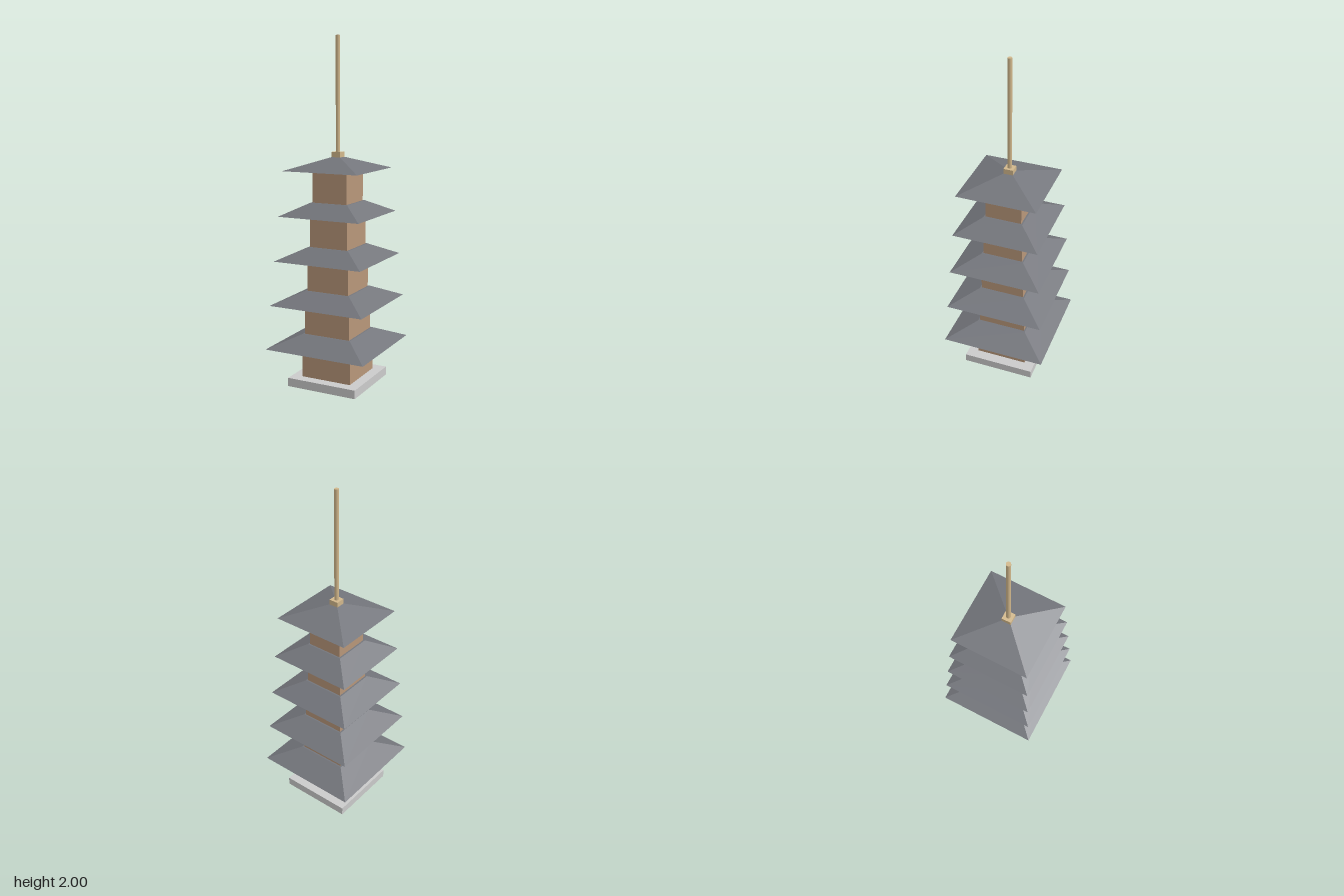
import * as THREE from 'three';

const paint = (color) => new THREE.MeshStandardMaterial({ color, flatShading: true });

export function createModel() {
  const model = new THREE.Group();
  model.name = 'pagoda';
  const stone = new THREE.MeshStandardMaterial({ color: 0xcccccc, flatShading: true });
  const wood = paint(0xb8977a);
  const tile = paint(0x74767c);
  const brass = paint(0xd2b88c);

  const add = (name, geometry, material, y) => {
    const mesh = new THREE.Mesh(geometry, material);
    mesh.name = name;
    mesh.position.y = y;
    model.add(mesh);
    return mesh;
  };
  // Square block given its half width, bottom and top
  const block = (name, half, y0, y1, material) =>
    add(name, new THREE.BoxGeometry(2 * half, y1 - y0, 2 * half), material, (y0 + y1) / 2);
  // Square roof sloping from a wide eave to a narrower flat top
  const roof = (name, eave, top, y0, y1) =>
    add(name, new THREE.CylinderGeometry(top * Math.SQRT2, eave * Math.SQRT2, y1 - y0, 4)
      .rotateY(Math.PI / 4), tile, (y0 + y1) / 2);

  // Stone platform
  block('base', 0.215, 0, 0.05, stone);

  // Five storeys, each narrower than the one below
  const storeys = 5, rise = 0.255;
  for (let i = 0; i < storeys; i++) {
    const half = 0.154 - 0.012 * i;
    const eave = 0.3075 - 0.0191 * i;
    const floor = i === 0 ? 0.05 : 0.05 + rise * i;
    const eaveY = 0.235 + rise * i;
    const top = i === storeys - 1 ? 0.025 : half - 0.003;
    block(`storey${i + 1}`, half, floor, eaveY, wood);
    roof(`roof${i + 1}`, eave, top, eaveY, eaveY + 0.071);
  }

  // Finial: square foot and slender mast
  block('finialFoot', 0.0275, 1.325, 1.355, brass);
  const mast = add('finialMast', new THREE.CylinderGeometry(0.0125, 0.0125, 0.645, 16), brass, 1.6775);
  mast.material = new THREE.MeshStandardMaterial({ color: 0xd2b88c });

  return model;
}
